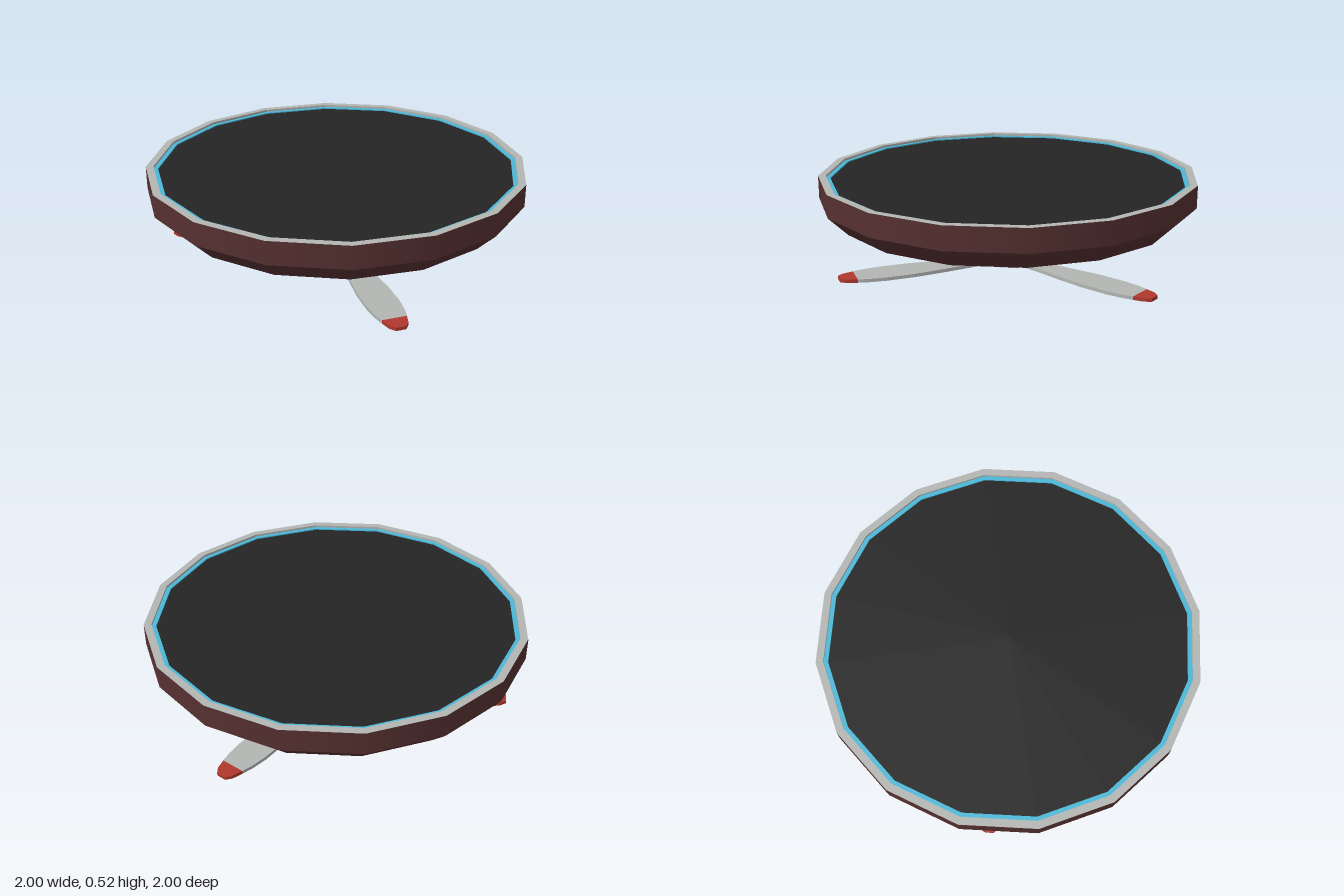
import * as THREE from 'three';

const SIDES = 16;
const material = (name, color) => Object.assign(new THREE.MeshStandardMaterial({ color }), { name });

// Flat plate from an outline in x/z, occupying y0..y1, with an optional hole
function plate(points, y0, y1, hole) {
  const shape = new THREE.Shape(points);
  if (hole) shape.holes.push(new THREE.Path(hole));
  const geometry = new THREE.ExtrudeGeometry(shape, { depth: y1 - y0, bevelEnabled: false });
  return geometry.rotateX(Math.PI / 2).translate(0, y1, 0);
}

const polygon = (radius, angles) =>
  angles.map((a) => new THREE.Vector2(radius * Math.cos(a), radius * Math.sin(a)));

export function createModel() {
  const model = new THREE.Group();
  const maroon = material('maroon', 0x563030);
  const grey = material('light grey', 0xb4b6b4);
  const black = material('black', 0x242424);
  const cyan = material('cyan', 0x4bb8d8);
  const red = material('red', 0xb0382e);

  const add = (name, geometry, mat, parent = model) => {
    const mesh = new THREE.Mesh(geometry, mat);
    mesh.name = name;
    parent.add(mesh);
    return mesh;
  };
  // Cylinder section between two heights
  const band = (top, bottom, y0, y1, sides, open = false) =>
    new THREE.CylinderGeometry(top, bottom, y1 - y0, sides, 1, open).translate(0, (y0 + y1) / 2, 0);

  // Platform body: straight wall, tapered skirt and underside
  add('platformWall', band(1, 1, 0.4, 0.52, SIDES, true), maroon);
  add('platformSkirt', band(1, 0.9, 0.3, 0.4, SIDES, true), maroon);
  add('platformUnderside', new THREE.CircleGeometry(0.9, SIDES).rotateX(Math.PI / 2).translate(0, 0.3, 0), maroon);

  // Raised rim, light strip and recessed deck
  const circle = Array.from({ length: SIDES }, (_, i) => (i / SIDES) * Math.PI * 2);
  add('rim', plate(polygon(0.999, circle), 0.48, 0.52, polygon(0.96, circle)), grey);
  add('lightStrip', plate(polygon(0.96, circle), 0.48, 0.508, polygon(0.937, circle)), cyan);
  add('deck', new THREE.CircleGeometry(0.94, SIDES).rotateX(-Math.PI / 2).translate(0, 0.502, 0), black);

  // Lamps around the underside
  const lamps = new THREE.Group();
  lamps.name = 'underLamps';
  model.add(lamps);
  circle.forEach((a) => {
    add('lamp', new THREE.SphereGeometry(0.028, 8, 6), cyan, lamps)
      .position.set(0.8 * Math.cos(a), 0.307, 0.8 * Math.sin(a));
  });

  // Propeller: shaft, six-sided hub and three blades
  const propeller = new THREE.Group();
  propeller.name = 'propeller';
  model.add(propeller);
  add('shaft', band(0.05, 0.05, 0.03, 0.3, 12), grey, propeller);

  const directions = [30, 150, 270].map(THREE.MathUtils.degToRad);
  const halfMouth = THREE.MathUtils.degToRad(22.2);
  const hubAngles = directions.flatMap((a) => [a - halfMouth, a + halfMouth]);
  add('hub', plate(polygon(0.101, hubAngles), 0.003, 0.04), grey, propeller);
  add('hubCap', plate(polygon(0.075, hubAngles), 0, 0.003), red, propeller);

  // Blade outline as [distance from the shaft, half width]
  const outline = (sections) => [
    ...sections.map(([r, w]) => new THREE.Vector2(r, -w)),
    ...sections.slice().reverse().map(([r, w]) => new THREE.Vector2(r, w)),
  ];
  const bladeShape = outline([[0.09, 0.037], [0.22, 0.048], [0.38, 0.069], [0.55, 0.086], [0.7, 0.087], [0.79, 0.077], [0.845, 0.064]]);
  const tipShape = outline([[0.845, 0.064], [0.9, 0.049], [0.93, 0.026]]);
  directions.forEach((a) => {
    const blade = new THREE.Group();
    blade.name = 'blade';
    blade.rotation.y = -a;
    propeller.add(blade);
    add('bladeBody', plate(bladeShape, 0.021, 0.039), grey, blade);
    add('bladeTip', plate(tipShape, 0.021, 0.039), red, blade);
  });

  return model;
}
